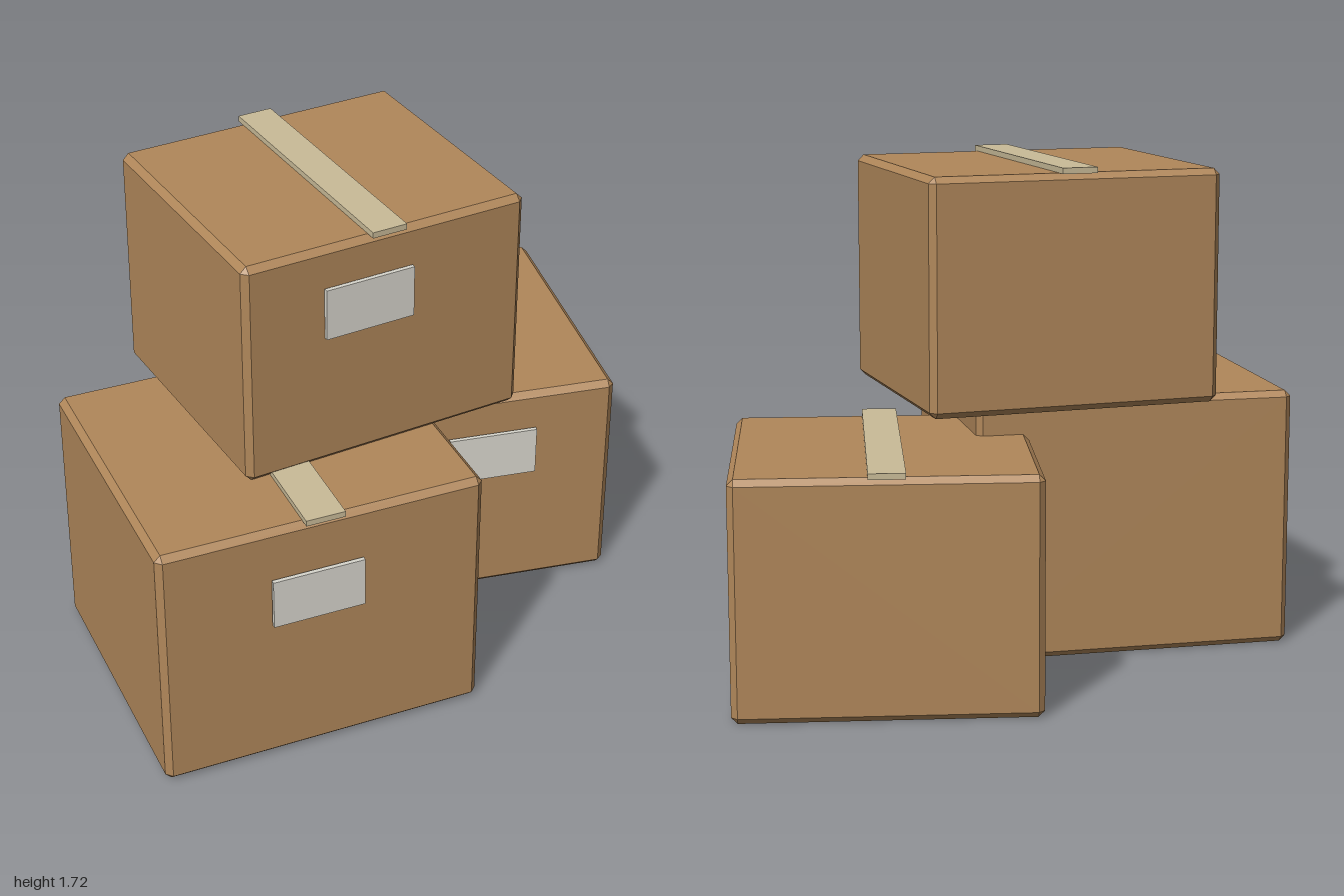
import * as THREE from 'three';
import { ConvexGeometry } from 'three/addons/geometries/ConvexGeometry.js';

const BEVEL = 0.021;

const material = (name, color) => {
  const m = new THREE.MeshStandardMaterial({ color });
  m.name = name;
  return m;
};

// Box standing on y = 0 with every edge and corner cut flat
function chamferedBox(w, h, d, c) {
  const points = [];
  for (const sx of [-1, 1]) for (const sy of [-1, 1]) for (const sz of [-1, 1]) {
    for (let axis = 0; axis < 3; axis++) {
      const inset = [c, c, c];
      inset[axis] = 0;
      points.push(new THREE.Vector3(
        sx * (w / 2 - inset[0]),
        h / 2 + sy * (h / 2 - inset[1]),
        sz * (d / 2 - inset[2])
      ));
    }
  }
  return new ConvexGeometry(points);
}

export function createModel() {
  const cardboard = material('cardboard', 0xb0875a);
  const tapeBeige = material('tape beige', 0xc9bb98);
  const labelWhite = material('label white', 0xd8d6cd);

  const stack = new THREE.Group();
  stack.name = 'boxStack';

  const boxes = [
    { name: 'lowerLeftBox', size: [1.12, 0.905, 1.012], at: [-0.4145, 0, 0.313], turn: 0.05, labelY: 0.633 },
    { name: 'lowerRightBox', size: [1.0, 0.795, 1.016], at: [0.45, 0, -0.295], turn: -0.1, labelY: 0.566 },
    { name: 'upperBox', size: [1.013, 0.79, 0.9], at: [-0.1215, 0.907, 0.043], turn: 0.15, labelY: 0.561 },
  ];

  for (const { name, size: [w, h, d], at, turn, labelY } of boxes) {
    const box = new THREE.Group();
    box.name = name;
    box.position.set(...at);
    box.rotation.y = turn;

    const add = (part, geometry, mat, x, y, z) => {
      const mesh = new THREE.Mesh(geometry, mat);
      mesh.name = part;
      mesh.position.set(x, y, z);
      box.add(mesh);
    };

    add('carton', chamferedBox(w, h, d, BEVEL), cardboard, 0, 0, 0);

    // Tape strip along the lid, slightly overhanging both ends
    add('tape', new THREE.BoxGeometry(w * 0.12, 0.02, d * 1.03), tapeBeige, 0, h + 0.009, 0);

    // Shipping label, shifted sideways with the turn of the box
    const reach = d / 2 + 0.0165;
    add('label', new THREE.BoxGeometry(0.316, 0.178, 0.015), labelWhite,
      -reach * Math.sin(turn), labelY, reach * Math.cos(turn));

    stack.add(box);
  }
  return stack;
}
